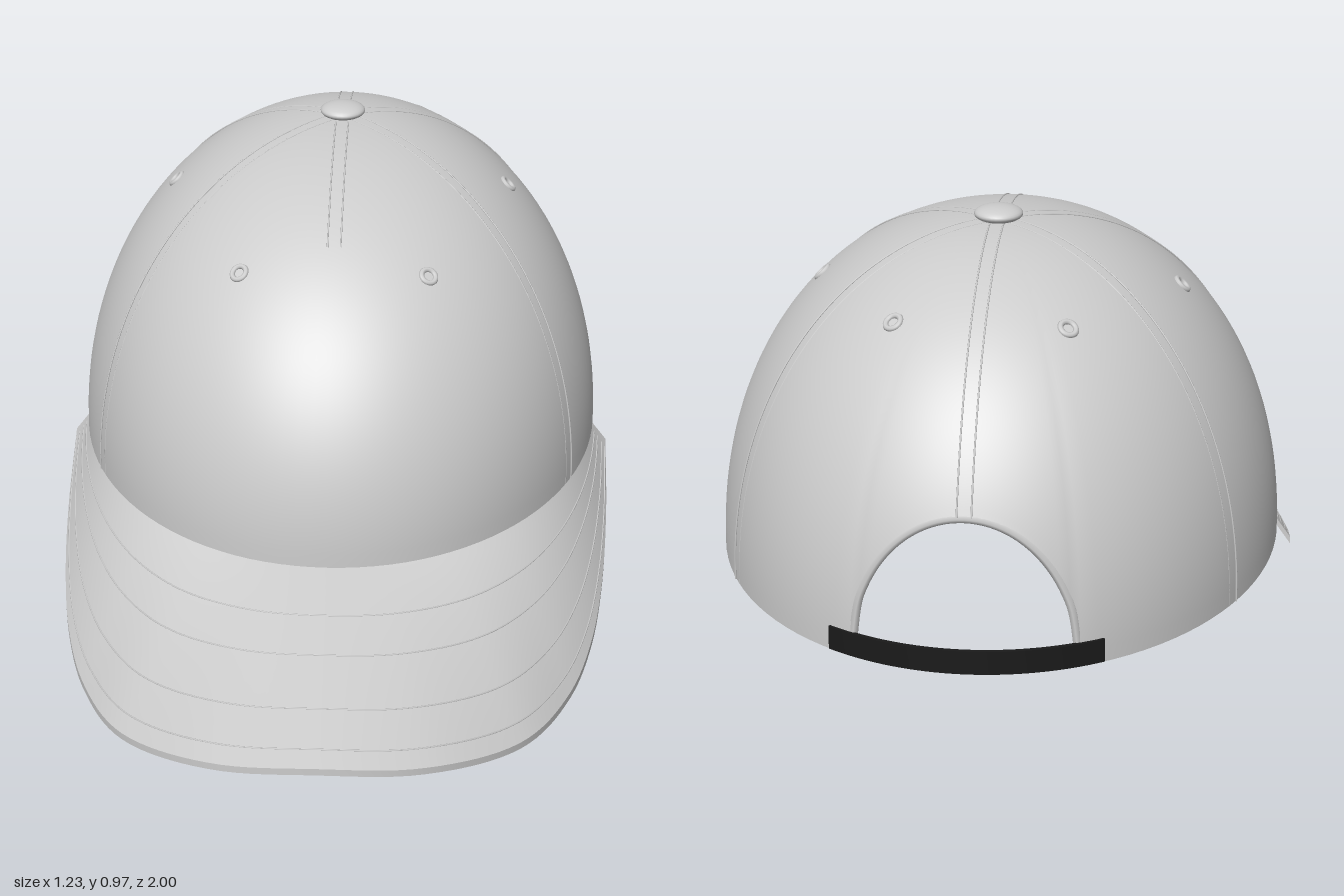
import * as THREE from 'three';

const fabric = new THREE.MeshStandardMaterial({ color: 0xcccccc, side: THREE.DoubleSide });
fabric.name = 'light grey fabric';
const black = new THREE.MeshStandardMaterial({ color: 0x1a1a1a, side: THREE.DoubleSide });
black.name = 'black strap';

const V = (x, y, z) => new THREE.Vector3(x, y, z);
const BASE = 0.25, APEX_Z = -0.34, MID_Z = -0.265, RX = 0.585, RZ = 0.735, HEIGHT = 0.695;
const POWER = 0.95, CUT_Z = -0.945;
// angle past the side at which the rear opening begins
const CORNER = Math.asin((MID_Z - CUT_Z) / RZ);

// Point of the dome; angle 90 degrees is the front, phi runs from apex to base
function dome(angle, phi, scale = 1) {
  const s = Math.sin(phi) ** POWER;
  const c = Math.max(0, Math.cos(phi)) ** POWER;
  const z = APEX_Z + (MID_Z - APEX_Z + RZ * Math.sin(angle)) * s;
  return V(RX * Math.cos(angle) * s * scale, BASE + HEIGHT * c * scale, MID_Z + (z - MID_Z) * scale);
}

// Lowest phi of a column: the base, or the flat cut of the rear opening
function phiEnd(angle) {
  const reach = -(MID_Z - APEX_Z + RZ * Math.sin(angle));
  const s = reach > 0 ? Math.min(1, (APEX_Z - CUT_Z) / reach) : 1;
  return Math.asin(s ** (1 / POWER));
}

// Columns around the crown, with exact breaks at the corners of the opening
function crownAngle(u) {
  const split = 0.8, sweep = Math.PI + 2 * CORNER;
  return u <= split
    ? -CORNER + (sweep * u) / split
    : -CORNER + sweep + ((2 * Math.PI - sweep) * (u - split)) / (1 - split);
}

// Surface from a rule (u, v) -> point
function surface(name, fn, nu, nv, material = fabric, closed = false) {
  const pos = [], index = [], cols = closed ? nu : nu + 1;
  for (let j = 0; j <= nv; j++) {
    for (let i = 0; i < cols; i++) pos.push(...fn(i / nu, j / nv).toArray());
  }
  for (let j = 0; j < nv; j++) {
    for (let i = 0; i < nu; i++) {
      const k = (i + 1) % cols;
      const a = j * cols + i, b = j * cols + k, c = a + cols, d = b + cols;
      index.push(a, b, c, b, d, c);
    }
  }
  const g = new THREE.BufferGeometry();
  g.setAttribute('position', new THREE.Float32BufferAttribute(pos, 3));
  g.setIndex(index);
  g.computeVertexNormals();
  const mesh = new THREE.Mesh(g, material);
  mesh.name = name;
  return mesh;
}

function cord(name, points, radius, segments = 48) {
  const curve = new THREE.CatmullRomCurve3(points);
  const mesh = new THREE.Mesh(new THREE.TubeGeometry(curve, segments, radius, 6), fabric);
  mesh.name = name;
  return mesh;
}

const steps = (n, fn) => Array.from({ length: n + 1 }, (_, i) => fn(i / n));

function makeCrown() {
  const g = new THREE.Group();
  g.name = 'crown';
  const INNER = 0.978;
  const phiAt = (a, v) => 0.03 + (phiEnd(a) - 0.03) * v;
  const shell = (scale, flip) => (u, v) => {
    const a = crownAngle(u);
    return dome(a, phiAt(a, flip ? 1 - v : v), scale);
  };
  g.add(surface('crownOutside', shell(1, false), 120, 40, fabric, true));
  g.add(surface('crownLining', shell(INNER, true), 120, 40, fabric, true));
  g.add(surface('crownRim', (u, v) => {
    const a = crownAngle(u);
    return dome(a, phiEnd(a), 1 + (INNER - 1) * v);
  }, 120, 1, fabric, true));

  // sweatband inside the base
  g.add(surface('sweatband', (u, v) =>
    dome(-CORNER + (Math.PI + 2 * CORNER) * u, Math.PI / 2 - 0.13 * v, 0.968), 96, 4));

  // piping around the rear opening
  g.add(cord('openingPiping', steps(32, t => {
    const a = Math.PI + CORNER + (Math.PI - 2 * CORNER) * t;
    return dome(a, phiEnd(a), 0.99);
  }), 0.009, 64));

  // twin stitch lines along the panel seams, with a tape inside
  for (const [deg, length] of [[28, 1], [152, 1], [-31, 1], [211, 1], [90, 0.36], [270, 1]]) {
    const a = THREE.MathUtils.degToRad(deg);
    for (const side of [-1, 1]) {
      g.add(cord('seamStitching', steps(20, t => {
        const phi = 0.05 + (phiEnd(a) - 0.05) * t * length;
        return dome(a, phi).add(V(-Math.sin(a), 0, Math.cos(a)).multiplyScalar(0.014 * side));
      }), 0.0018));
    }
    g.add(cord('seamTape', steps(20, t => dome(a, phiAt(a, t), INNER)), 0.003));
  }

  // button on top
  const button = new THREE.Mesh(new THREE.SphereGeometry(0.05, 32, 16), fabric);
  button.name = 'topButton';
  button.scale.y = 0.34;
  button.position.set(0, BASE + HEIGHT + 0.01, APEX_Z);
  g.add(button);

  // six ventilation eyelets, given by x and z
  for (const [x, z] of [[0.2, 0.145], [0.373, -0.295], [0.17, -0.665]]) {
    // solve for the dome point above (x, z)
    let a = Math.atan2((z - APEX_Z) / RZ, x / RX), s = 0;
    for (let i = 0; i < 30; i++) {
      s = Math.hypot(x / RX, (z - APEX_Z - (MID_Z - APEX_Z) * s) / RZ);
      a = Math.atan2((z - APEX_Z - (MID_Z - APEX_Z) * s) / RZ, x / RX);
    }
    const phi = Math.asin(s ** (1 / POWER)), p = dome(a, phi);
    const normal = dome(a + 0.01, phi).sub(p).cross(dome(a, phi + 0.01).sub(p)).normalize();
    for (const side of [-1, 1]) {
      const ring = new THREE.Mesh(new THREE.TorusGeometry(0.016, 0.006, 8, 24), fabric);
      ring.name = 'eyelet';
      ring.position.set(p.x * side, p.y, p.z);
      ring.quaternion.setFromUnitVectors(V(0, 0, 1), V(normal.x * side, normal.y, normal.z));
      g.add(ring);
    }
  }
  return g;
}

function makeBrim() {
  const g = new THREE.Group();
  g.name = 'brim';
  const THICK = 0.015, START = 0.088;
  // underside of the outer edge, from one side to the middle
  const half = [
    [0.615, 0.187, -0.205], [0.61, 0.112, 0], [0.594, 0.05, 0.2], [0.565, 0.012, 0.38],
    [0.51, 0, 0.57], [0.4, 0.028, 0.79], [0.2, 0.083, 0.96],
  ].map(p => V(...p));
  const edge = new THREE.CatmullRomCurve3([
    ...half, V(0, 0.105, 1), ...half.slice().reverse().map(p => V(-p.x, p.y, p.z)),
  ], false, 'centripetal');
  // v runs from the crown to the outer edge
  const point = (u, v, lift) => {
    const inner = dome(START + (Math.PI - 2 * START) * u, Math.PI / 2, 0.992);
    inner.y = BASE - THICK + 0.002;
    return inner.lerp(edge.getPointAt(u), v).add(V(0, lift, 0));
  };
  g.add(surface('brimTop', (u, v) => point(u, v, THICK), 96, 16));
  g.add(surface('brimUnderside', (u, v) => point(u, 1 - v, 0), 96, 16));
  g.add(surface('brimEdge', (u, v) => point(u, 1, THICK * (1 - v)), 96, 1));
  g.add(surface('brimInnerEdge', (u, v) => point(u, 0, THICK * v), 96, 1));
  for (const end of [0, 1]) {
    g.add(surface('brimEnd', (u, v) => point(end, end ? 1 - u : u, THICK * v), 4, 1));
  }
  // rows of stitching
  for (const row of [0.26, 0.46, 0.72, 0.91]) {
    g.add(cord('brimStitching', steps(60, t => point(0.01 + 0.98 * t, row, THICK)), 0.0018, 120));
  }
  return g;
}

function makeStrap() {
  const g = new THREE.Group();
  g.name = 'rearStrap';
  const from = Math.PI + CORNER - 0.08, sweep = Math.PI - 2 * CORNER + 0.16;
  // rectangular cross-section as [scale, y]
  const section = [[0.994, 0.3], [1.006, 0.3], [1.006, 0.252], [0.994, 0.252]];
  const at = (u, s, y) => {
    const p = dome(from + sweep * u, Math.PI / 2, s);
    p.y = y;
    return p;
  };
  section.forEach(([s0, y0], i) => {
    const [s1, y1] = section[(i + 1) % 4];
    g.add(surface('strapFace', (u, v) => at(u, s0 + (s1 - s0) * v, y0 + (y1 - y0) * v), 32, 1, black));
  });
  for (const end of [0, 1]) {
    g.add(surface('strapEnd', (u, v) =>
      at(end, 0.994 + 0.012 * (end ? 1 - u : u), 0.252 + 0.048 * v), 1, 1, black));
  }
  return g;
}

export function createModel() {
  const cap = new THREE.Group();
  cap.name = 'cap';
  cap.add(makeCrown(), makeBrim(), makeStrap());
  return cap;
}
